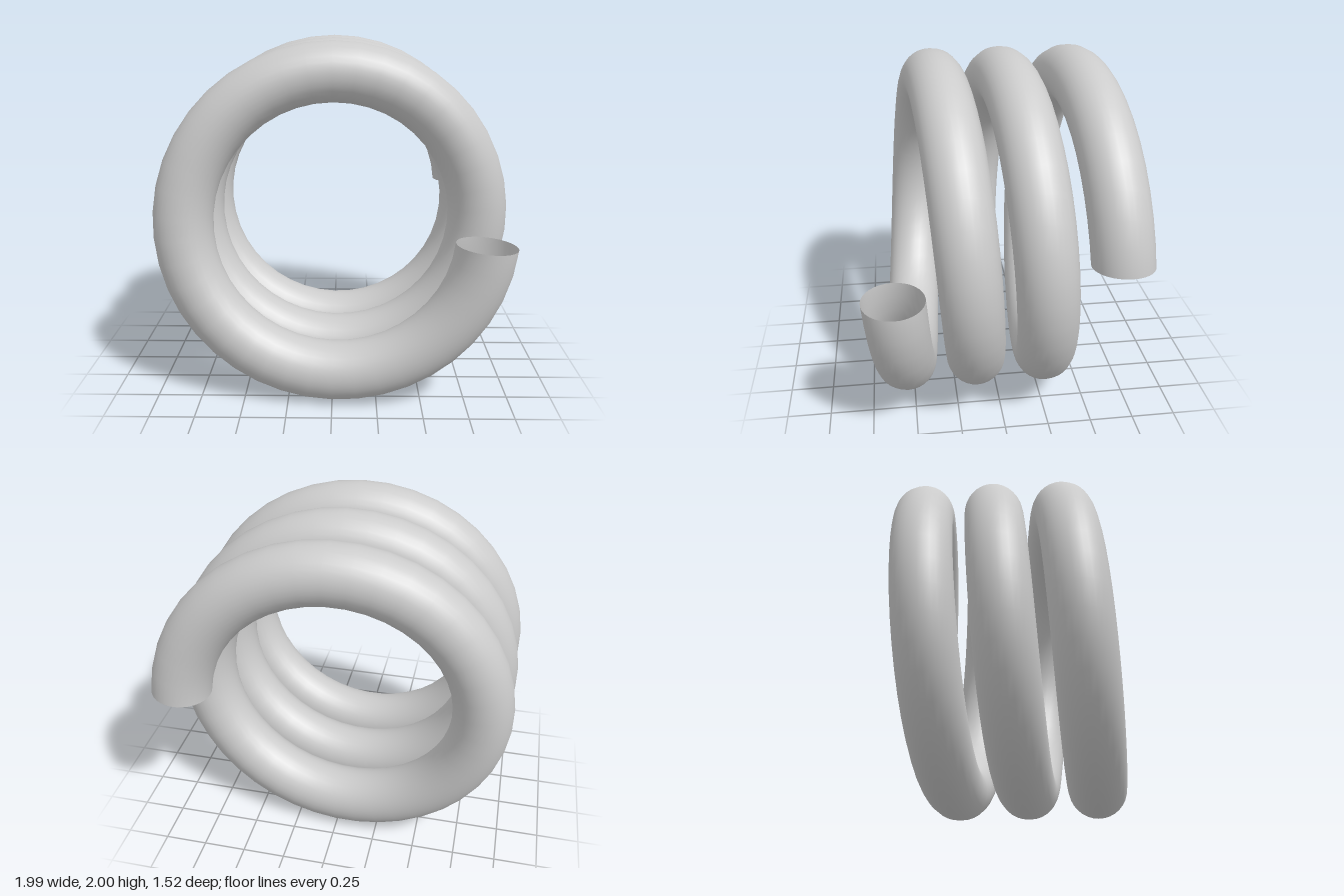
import * as THREE from 'three';
import { ParametricGeometry } from 'three/addons/geometries/ParametricGeometry.js';

const RADIUS = 0.833;  // centre line of the coil
const TUBE = 0.167;    // thickness of the wire
const PITCH = 0.4;     // advance per turn
const TURNS = 3;
const TRIM = 0.075;    // angle cut off each end

export function createModel() {
  const model = new THREE.Group();
  const start = TRIM;
  const sweep = TURNS * 2 * Math.PI - 2 * TRIM;

  // Circular section kept in the radial plane, swept along a helix
  const coilPoint = (u, v, target) => {
    const t = start + sweep * u;
    const a = -2 * Math.PI * v;
    const r = RADIUS + TUBE * Math.cos(a);
    const z = PITCH * (TURNS / 2 - t / (2 * Math.PI)) + TUBE * Math.sin(a);
    target.set(r * Math.cos(t), 1 - r * Math.sin(t), z);
  };

  // Open-ended spring
  const coil = new THREE.Mesh(
    new ParametricGeometry(coilPoint, 125, 32),
    new THREE.MeshStandardMaterial({ color: 0xcccccc, side: THREE.DoubleSide })
  );
  coil.name = 'springCoil';
  model.add(coil);
  return model;
}
